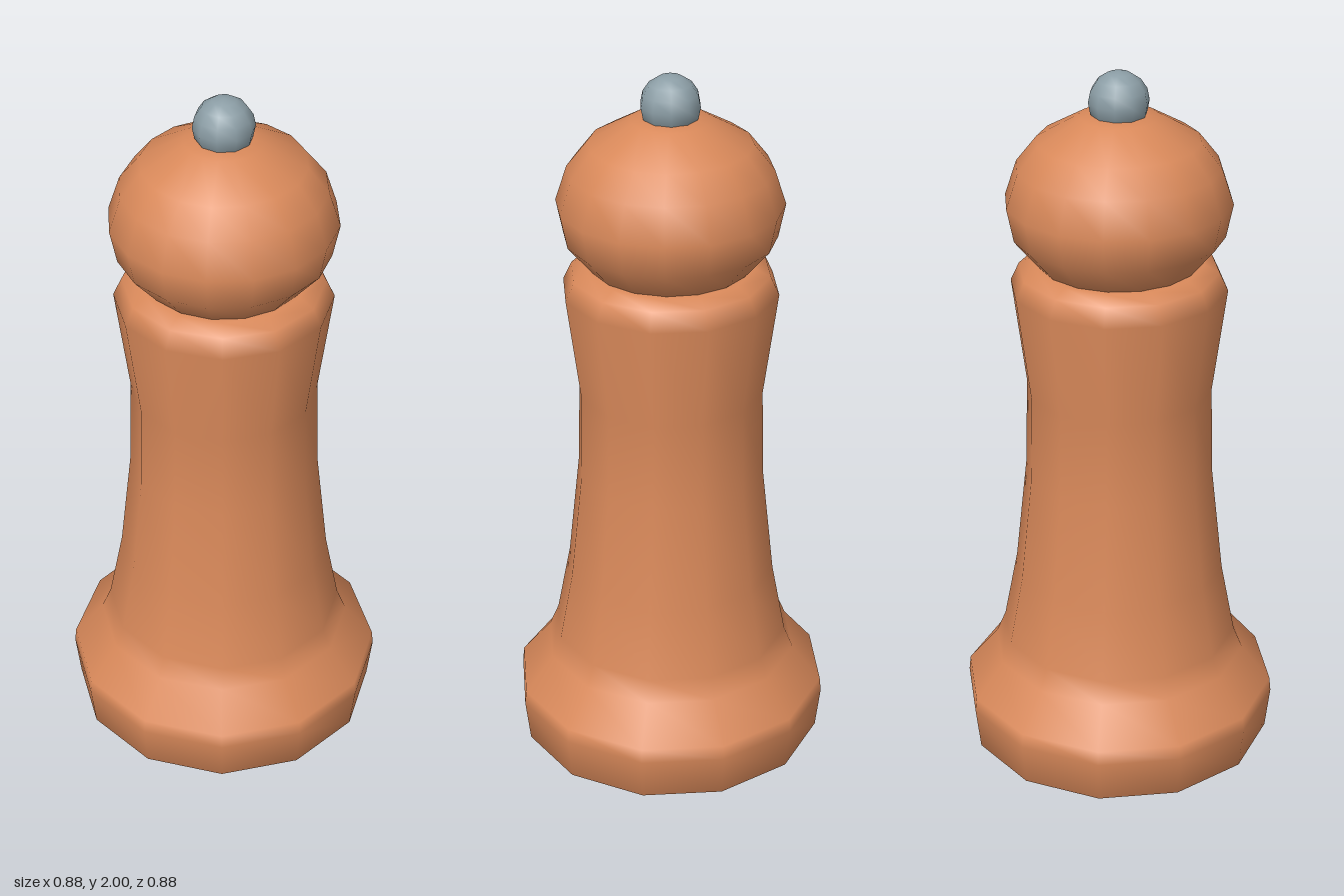
import * as THREE from 'three';

const terracotta = new THREE.MeshStandardMaterial({ color: 0xd9895a });
terracotta.name = 'terracotta';
const slateGrey = new THREE.MeshStandardMaterial({ color: 0x8c9ea6 });
slateGrey.name = 'slate grey';

// Turned part from [radius, height] pairs, listed bottom to top
function turned(name, profile, sides) {
  const points = profile.map(([r, y]) => new THREE.Vector2(r, y));
  const mesh = new THREE.Mesh(new THREE.LatheGeometry(points, sides), terracotta);
  mesh.name = name;
  return mesh;
}

export function createModel() {
  const group = new THREE.Group();
  group.name = 'turnedPiece';

  // Foot, flared shaft and rounded collar
  group.add(turned('body', [
    [0, 0], [0.355, 0], [0.37, 0.003], [0.427, 0.04], [0.441, 0.16], [0.437, 0.2],
    [0.355, 0.3], [0.33, 0.36], [0.292, 0.56], [0.26, 0.86], [0.254, 1.11],
    [0.293, 1.405], [0.27, 1.455], [0.23, 1.475], [0.2, 1.478], [0, 1.478],
  ], 12));

  // Squashed ball head, its underside sunk into the collar
  group.add(turned('head', [
    [0, 1.45], [0.19, 1.45], [0.218, 1.478], [0.284, 1.557], [0.303, 1.65],
    [0.272, 1.745], [0.217, 1.815], [0.105, 1.88], [0.06, 1.886], [0, 1.886],
  ], 16));

  // Small finial bead
  const finial = new THREE.Mesh(new THREE.SphereGeometry(0.081, 10, 8), slateGrey);
  finial.name = 'finial';
  finial.position.y = 1.919;
  group.add(finial);

  return group;
}
